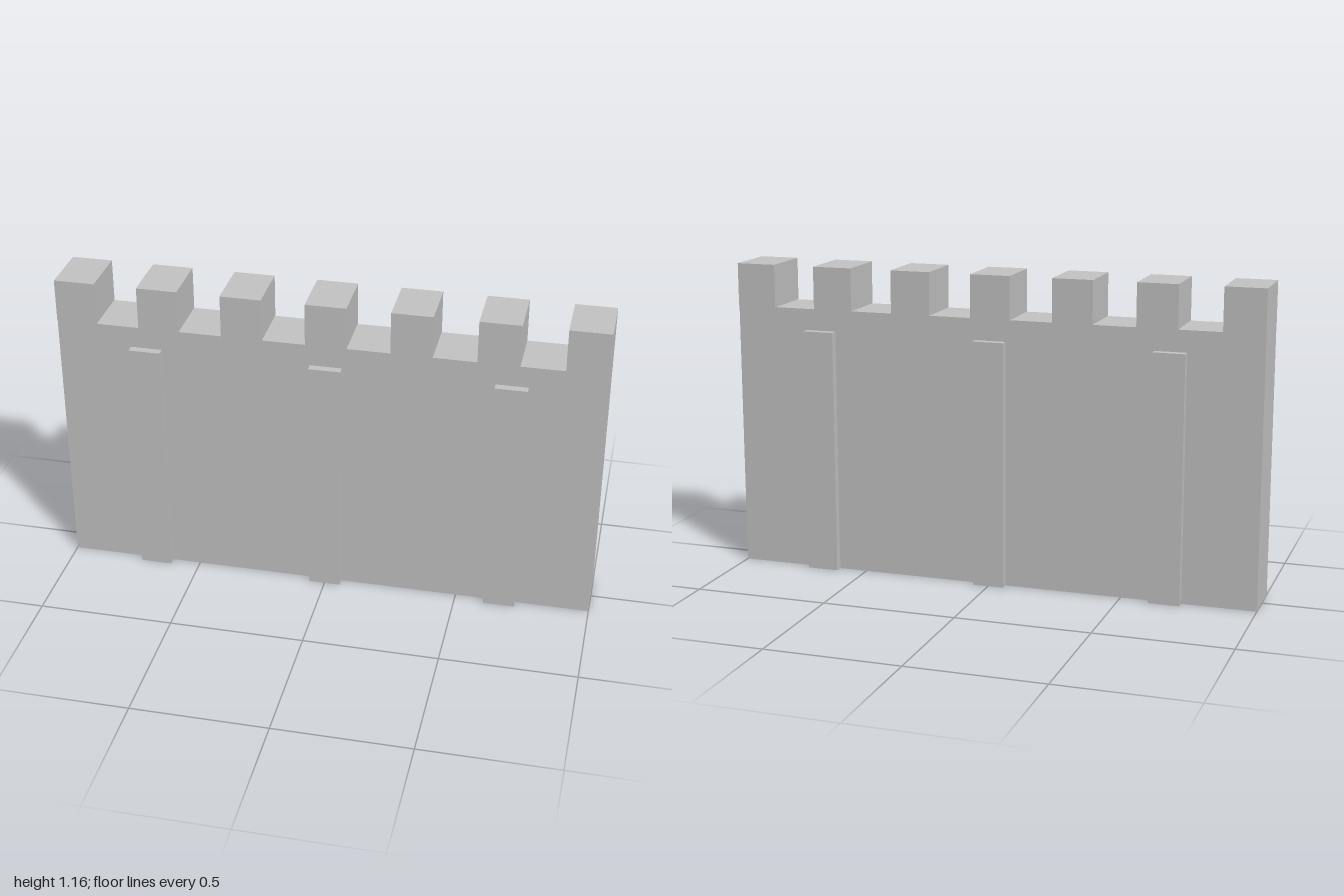
import * as THREE from 'three';

export function createModel() {
  const model = new THREE.Group();
  const stone = new THREE.MeshStandardMaterial({ name: 'greyStone', color: 0xc4c4c4 });

  // Box given by its centre x, base height and size
  const addBlock = (name, x, baseY, w, h, d) => {
    const mesh = new THREE.Mesh(new THREE.BoxGeometry(w, h, d), stone);
    mesh.name = name;
    mesh.position.set(x, baseY + h / 2, 0);
    model.add(mesh);
  };

  // Main curtain wall
  addBlock('wall', 0, 0, 2, 1, 0.2);

  // Pilasters running through the wall, standing proud on both faces
  [-0.667, 0, 0.667].forEach((x, i) => addBlock(`pilaster${i + 1}`, x, 0, 0.117, 0.92, 0.26));

  // Row of merlons, slightly deeper than the wall
  const count = 7, width = 0.15;
  for (let i = 0; i < count; i++) {
    const x = (i / (count - 1) - 0.5) * (2 - width);
    addBlock(`merlon${i + 1}`, x, 1, width, 0.16, 0.207);
  }

  return model;
}
